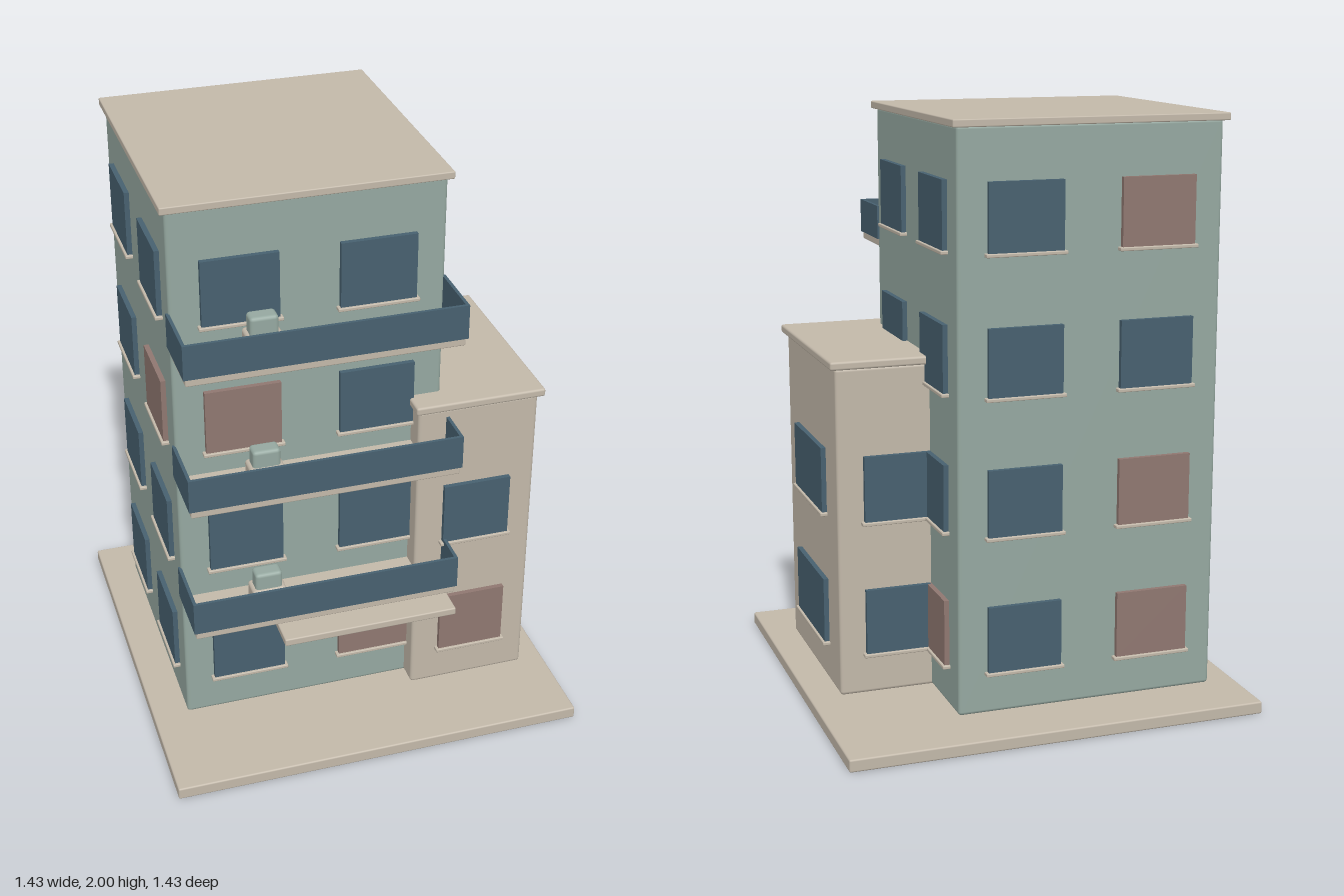
import * as THREE from 'three';
import { RoundedBoxGeometry } from 'three/addons/geometries/RoundedBoxGeometry.js';

const material = (name, color) => {
  const m = new THREE.MeshStandardMaterial({ color });
  m.name = name;
  return m;
};

export function createModel() {
  const green = material('sage wall', 0x95a8a0);
  const beige = material('beige stone', 0xc2b8a9);
  const blue = material('slate blue', 0x47606f);
  const red = material('dusty red', 0x8f7770);

  const building = new THREE.Group();
  building.name = 'apartmentBuilding';

  // Box given by its min and max corners; a radius softens its edges
  function box(name, mat, [x0, y0, z0], [x1, y1, z1], radius = 0, parent = building) {
    const size = [x1 - x0, y1 - y0, z1 - z0];
    const geometry = radius
      ? new RoundedBoxGeometry(...size, 2, radius)
      : new THREE.BoxGeometry(...size);
    const mesh = new THREE.Mesh(geometry, mat);
    mesh.name = name;
    mesh.position.set((x0 + x1) / 2, (y0 + y1) / 2, (z0 + z1) / 2);
    parent.add(mesh);
  }

  // Ground slab, main block, side wing and their flat roofs
  box('groundSlab', beige, [-0.717, 0, -0.717], [0.717, 0.043, 0.717], 0.006);
  box('mainBlock', green, [-0.6, 0.06, -0.54], [0.3, 1.98, 0.36], 0.012);
  box('mainRoof', beige, [-0.617, 1.975, -0.557], [0.317, 2, 0.375], 0.004);
  box('wing', beige, [0.2, 0.06, -0.243], [0.62, 1.185, 0.435], 0.012);
  box('wingRoof', beige, [0.188, 1.183, -0.262], [0.64, 1.212, 0.45], 0.008);

  // Window pane and sill on a wall that faces the given angle about y
  const floorY = (floor) => 0.2 + 0.46 * (floor - 1);
  function addWindow(x, z, angle, floor, mat, width = 0.252) {
    const group = new THREE.Group();
    group.name = 'window';
    group.position.set(x, floorY(floor), z);
    group.rotation.y = angle;
    const w = width / 2;
    box('pane', mat, [-w, 0, -0.01], [w, 0.227, 0.017], 0, group);
    box('sill', beige, [-w - 0.01, -0.008, -0.01], [w + 0.01, 0.004, 0.025], 0.003, group);
    building.add(group);
  }

  // Main block windows: four walls, two columns, with the red floors per column
  const right = Math.PI / 2;
  const columns = [
    [-0.375, 0.36, 0, [3]], [0.075, 0.36, 0, [1]],
    [-0.375, -0.54, Math.PI, [1, 2, 4]], [0.075, -0.54, Math.PI, []],
    [-0.6, 0.135, -right, [3]], [-0.6, -0.315, -right, []],
    [0.3, 0.135, right, []], [0.3, -0.315, right, [1]],
  ];
  for (const [x, z, angle, redFloors] of columns) {
    for (let floor = 1; floor <= 4; floor++) {
      const insideWing = angle === right && z > 0 && floor < 3;
      if (!insideWing) addWindow(x, z, angle, floor, redFloors.includes(floor) ? red : blue);
    }
  }

  // Wing windows: one at front and back, a pair at the side
  for (const floor of [1, 2]) {
    addWindow(0.413, 0.435, 0, floor, floor === 1 ? red : blue, 0.235);
    addWindow(0.413, -0.243, Math.PI, floor, blue, 0.235);
    for (const z of [0.192, 0]) addWindow(0.62, z, right, floor, blue, 0.192);
  }

  // Balconies on the upper floors, each with a parapet and a planter
  for (let floor = 2; floor <= 4; floor++) {
    const y = 0.559 + 0.479 * (floor - 2);
    const balcony = new THREE.Group();
    balcony.name = 'balcony';
    balcony.position.y = y;
    building.add(balcony);
    const add = (name, mat, a, b, r) => box(name, mat, a, b, r, balcony);
    add('balconySlab', beige, [-0.6, -0.026, 0.35], [0.3, 0.002, 0.563], 0.004);
    add('frontParapet', blue, [-0.607, 0, 0.557], [0.307, 0.117, 0.568]);
    for (const x of [-0.607, 0.296]) {
      add('sideParapet', blue, [x, 0, 0.345], [x + 0.011, 0.117, 0.557]);
    }
    add('planterBox', beige, [-0.392, 0, 0.436], [-0.276, 0.085, 0.515], 0.012);
    add('planterHedge', green, [-0.38, 0.06, 0.447], [-0.288, 0.143, 0.505], 0.012);
  }

  // Entrance canopy
  box('entranceCanopy', beige, [-0.305, 0.454, 0.35], [0.3, 0.481, 0.588], 0.005);

  return building;
}
